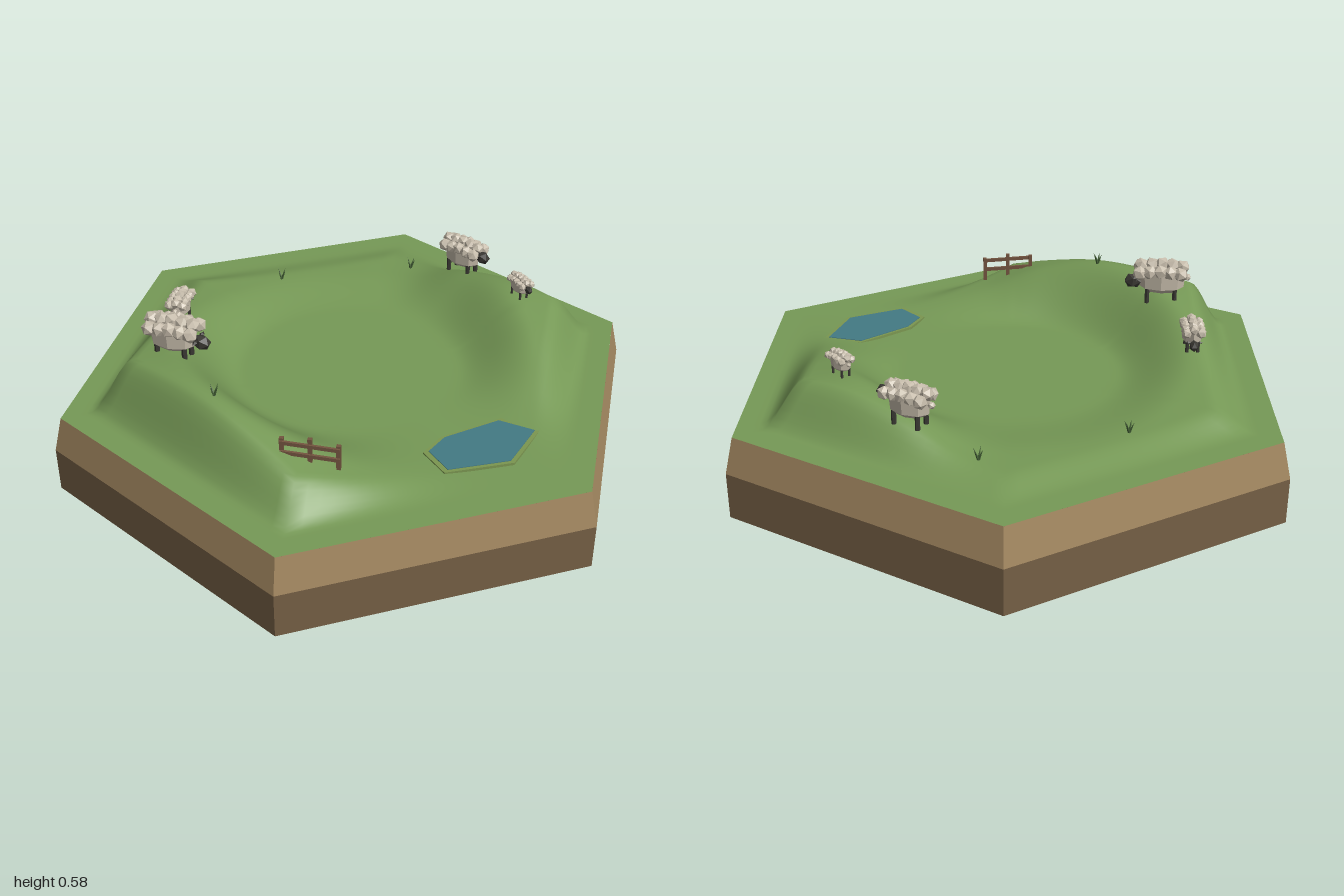
import * as THREE from 'three';

const mat = (name, color, flatShading = true) =>
  Object.assign(new THREE.MeshStandardMaterial({ color, flatShading }), { name });

const M = {
  grass: mat('grass green', 0x769956, false),
  soil: mat('light soil', 0xa1865f),
  earth: mat('dark earth', 0x755f45),
  water: mat('pond water', 0x437a84),
  bank: mat('pond bank', 0x7b9650),
  wool: mat('wool', 0xc6bcab),
  dark: mat('dark fleece', 0x3a3833),
  wood: mat('fence wood', 0x73543f),
  blade: mat('dark grass', 0x466338),
};

const TOP = 0.275;   // level of the flat meadow
const RIM = 0.84;    // hexagon apothem of the meadow

// Hill height around the ring, one value every 20 degrees from +x towards +z
const RING = [0.065, 0.01, 0, 0.015, 0.06, 0.14, 0.188, 0.19, 0.157,
  0.105, 0.065, 0.035, 0.025, 0.025, 0.035, 0.11, 0.15, 0.12];

function ringHeight(angle) {
  const n = RING.length;
  const u = ((angle / (2 * Math.PI)) * n + n) % n;
  const i = Math.floor(u), t = u - i;
  const [a, b, c, d] = [-1, 0, 1, 2].map((k) => RING[(i + k + n) % n]);
  const v = b + 0.5 * t * (c - a + t * (2 * a - 5 * b + 4 * c - d + t * (3 * (b - c) + d - a)));
  return Math.max(0, v);
}

const hexDistance = (x, z) => Math.max(Math.abs(x), Math.abs(x) / 2 + Math.abs(z) * 0.866);

function ground(x, z) {
  const inner = THREE.MathUtils.smoothstep(Math.hypot(x, z), 0.36, 0.61);
  const outer = 1 - THREE.MathUtils.smoothstep(hexDistance(x, z), 0.625, 0.76);
  return TOP + ringHeight(Math.atan2(z, x)) * inner * outer;
}

function add(parent, name, geometry, material, x = 0, y = 0, z = 0) {
  const mesh = new THREE.Mesh(geometry, material);
  mesh.name = name;
  mesh.position.set(x, y, z);
  parent.add(mesh);
  return mesh;
}

// Meadow: concentric hexagonal rings lifted by the ground rule
function meadowGeometry(rings = 48, segments = 120) {
  const pos = [0, TOP, 0], index = [];
  for (let r = 1; r <= rings; r++) {
    for (let s = 0; s < segments; s++) {
      const a = (s / segments) * Math.PI * 2;
      const cx = Math.cos(a), cz = Math.sin(a);
      const d = (RIM * r) / rings / hexDistance(cx, cz);
      pos.push(cx * d, ground(cx * d, cz * d), cz * d);
    }
  }
  const id = (r, s) => 1 + (r - 1) * segments + (s % segments);
  for (let s = 0; s < segments; s++) {
    index.push(0, id(1, s + 1), id(1, s));
    for (let r = 1; r < rings; r++) {
      const a = id(r, s), b = id(r, s + 1), c = id(r + 1, s), d = id(r + 1, s + 1);
      index.push(a, b, d, a, d, c);
    }
  }
  const g = new THREE.BufferGeometry();
  g.setAttribute('position', new THREE.Float32BufferAttribute(pos, 3));
  g.setIndex(index);
  g.computeVertexNormals();
  return g;
}

// Flat pond outline, scaled about its middle
function pondGeometry(scale, depth) {
  const cx = 0.48, cz = 0.345;
  const outline = [[0.53, 0.19], [0.66, 0.22], [0.6, 0.41], [0.4, 0.505], [0.32, 0.42], [0.36, 0.33]];
  const shape = new THREE.Shape(outline.map(([x, z]) =>
    new THREE.Vector2(cx + (x - cx) * scale, -(cz + (z - cz) * scale))));
  return new THREE.ExtrudeGeometry(shape, { depth, bevelEnabled: false }).rotateX(-Math.PI / 2);
}

// Sheep one unit long facing +x, feet at the origin
function makeSheep(x, y, z, size, heading, headHeight) {
  const sheep = new THREE.Group();
  sheep.name = 'sheep';
  const body = add(sheep, 'woolBody', new THREE.CylinderGeometry(0.44, 0.4, 0.4, 8), M.wool, 0, 0.49, 0);
  body.scale.set(1.1, 1, 0.68);
  const belly = add(sheep, 'woolBelly', new THREE.CylinderGeometry(0.4, 0.28, 0.09, 8), M.wool, 0, 0.25, 0);
  belly.scale.set(1.1, 1, 0.68);

  // Wool tufts in three rows over the back
  for (let row = -1; row <= 1; row++) {
    for (let i = 0; i < 5; i++) {
      const lump = add(sheep, 'woolTuft', new THREE.IcosahedronGeometry(0.15, 0), M.wool,
        -0.4 + i * 0.2 + (row ? 0.03 : 0), 0.75 - Math.abs(row) * 0.09 - Math.abs(i - 2) * 0.02, row * 0.2);
      lump.rotation.set(row + i, i * 1.3, row * 0.7);
    }
  }
  for (const sx of [-0.27, 0.27]) {
    for (const sz of [-0.15, 0.15]) {
      add(sheep, 'leg', new THREE.CylinderGeometry(0.05, 0.05, 0.38, 6), M.dark, sx, 0.17, sz);
    }
  }
  // Head with ears
  const head = add(sheep, 'head', new THREE.IcosahedronGeometry(0.16, 0), M.dark, 0.56, headHeight, 0);
  head.scale.set(1.15, 1, 0.85);
  for (const side of [-1, 1]) {
    const ear = add(sheep, 'ear', new THREE.OctahedronGeometry(0.08), M.dark, 0.5, headHeight + 0.07, side * 0.16);
    ear.scale.set(0.6, 0.5, 1.2);
  }
  add(sheep, 'tail', new THREE.IcosahedronGeometry(0.08, 0), M.wool, -0.5, 0.5, 0);
  sheep.position.set(x, y, z);
  sheep.rotation.y = heading;
  sheep.scale.setScalar(size);
  return sheep;
}

// Fence: three posts and two rails sloping with the hill
function makeFence() {
  const fence = new THREE.Group();
  fence.name = 'fence';
  [-0.085, 0, 0.085].forEach((x, i) => {
    add(fence, 'post', new THREE.BoxGeometry(0.013, 0.085, 0.013), M.wood, x, [0.4, 0.405, 0.39][i], 0);
  });
  for (const y of [0.39, 0.425]) {
    const rail = add(fence, 'rail', new THREE.BoxGeometry(0.18, 0.012, 0.008), M.wood, 0, y, 0.008);
    rail.rotation.z = -0.06;
  }
  fence.position.set(0.02, 0, 0.638);
  fence.rotation.y = 0.06;
  return fence;
}

function makeGrassTuft(x, z) {
  const tuft = new THREE.Group();
  tuft.name = 'grassTuft';
  for (let i = 0; i < 4; i++) {
    const a = i * 1.7 + 0.3;
    const blade = add(tuft, 'blade', new THREE.ConeGeometry(0.005, 0.045, 4).translate(0, 0.02, 0), M.blade);
    blade.rotation.set(Math.sin(a) * 0.4, 0, -Math.cos(a) * 0.4);
  }
  tuft.position.set(x, ground(x, z), z);
  return tuft;
}

export function createModel() {
  const model = new THREE.Group();
  model.name = 'hexagonPasture';

  // Hexagonal slab with a tapered soil layer
  add(model, 'earthBase', new THREE.CylinderGeometry(1, 1, 0.155, 6), M.earth, 0, 0.0775, 0);
  add(model, 'soilLayer', new THREE.CylinderGeometry(0.97, 1, TOP - 0.155, 6, 1, true), M.soil, 0, (TOP + 0.155) / 2, 0);
  add(model, 'meadow', meadowGeometry(), M.grass);

  add(model, 'pondBank', pondGeometry(1, 0.009), M.bank, 0, TOP + 0.001, 0);
  add(model, 'pondWater', pondGeometry(0.9, 0.009), M.water, 0, TOP + 0.003, 0);

  model.add(
    makeSheep(0.285, 0.375, -0.565, 0.155, -0.5, 0.53),
    makeSheep(0.515, 0.427, -0.345, 0.09, -0.85, 0.5),
    makeSheep(-0.6, 0.377, -0.025, 0.118, Math.PI / 2, 0.3),
    makeSheep(-0.52, 0.425, 0.268, 0.175, -0.1, 0.38),
    makeFence(),
    makeGrassTuft(-0.31, 0.51),
    makeGrassTuft(0.08, -0.66),
    makeGrassTuft(-0.37, -0.48),
  );
  return model;
}
